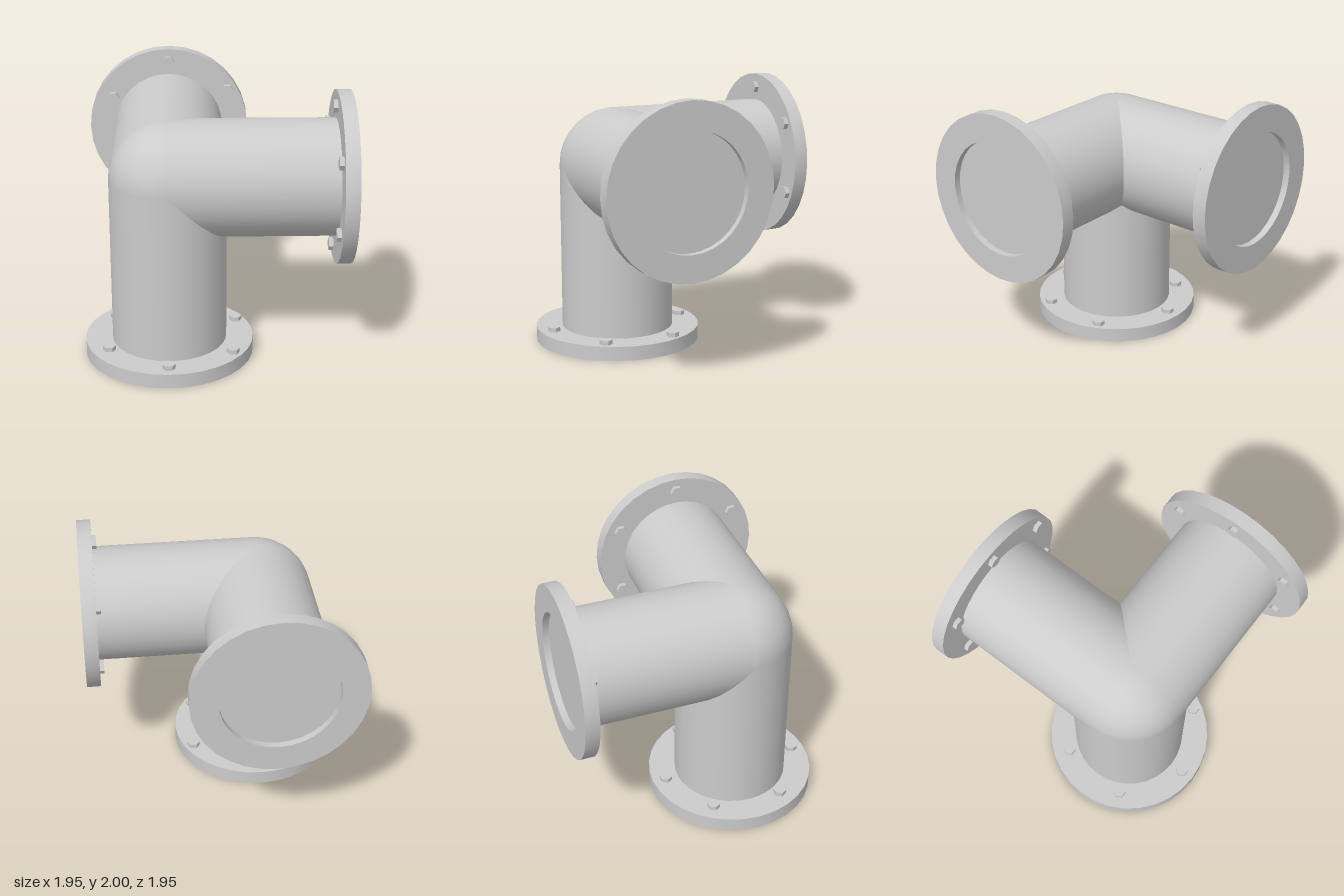
import * as THREE from 'three';
import { toCreasedNormals } from 'three/addons/utils/BufferGeometryUtils.js';

const PIPE_R = 0.428, FLANGE_R = 0.63, SEG = 32;
const BOLT_R = 0.048, BOLT_H = 0.033, RECESS = 0.05;

const material = new THREE.MeshStandardMaterial({ color: 0xcccccc });

function addMesh(parent, name, geometry) {
  const mesh = new THREE.Mesh(geometry, material);
  mesh.name = name;
  parent.add(mesh);
  return mesh;
}

// Flange ring around the y axis, from y = 0 to y = thickness
function flangeGeometry(thickness) {
  const profile = [
    [PIPE_R, 0], [FLANGE_R, 0], [FLANGE_R, thickness], [PIPE_R, thickness], [PIPE_R, thickness - RECESS],
  ].map(([r, y]) => new THREE.Vector2(r, y));
  return toCreasedNormals(new THREE.LatheGeometry(profile, SEG), Math.PI / 6);
}

// One pipe arm along +y: capped pipe, flange at its end, bolts on the inner face
function createArm(name, length, thickness, bolts, boltTurn) {
  const arm = new THREE.Group();
  arm.name = name;
  const pipeLength = length - thickness;

  const tube = new THREE.CylinderGeometry(PIPE_R, PIPE_R, pipeLength, SEG, 1, true);
  addMesh(arm, 'pipe', tube).position.y = pipeLength / 2;

  // Closing disc, recessed halfway into the flange
  const cap = new THREE.CircleGeometry(PIPE_R, SEG).rotateX(-Math.PI / 2);
  addMesh(arm, 'endCap', cap).position.y = length - RECESS;

  addMesh(arm, 'flange', flangeGeometry(thickness)).position.y = pipeLength;

  const hex = toCreasedNormals(
    new THREE.CylinderGeometry(BOLT_R, BOLT_R, BOLT_H, 6).rotateY(boltTurn), Math.PI / 6);
  for (const [x, z] of bolts) {
    addMesh(arm, 'bolt', hex).position.set(x, pipeLength - BOLT_H / 2, z);
  }
  return arm;
}

export function createModel() {
  const model = new THREE.Group();
  model.name = 'threeWayPipeElbow';

  const joint = new THREE.Group();
  joint.name = 'joint';
  joint.position.set(-0.343, 1.37, 0.343);
  model.add(joint);

  // Rounded outer corner
  addMesh(joint, 'cornerBall', new THREE.SphereGeometry(PIPE_R, SEG, SEG / 2));

  // Bolt circles: slightly uneven on two arms, regular on the third
  const uneven = [[0, 0.528], [-0.442, 0.238], [-0.41, -0.292],
    [0, -0.528], [0.505, -0.238], [0.47, 0.294]];
  const regular = Array.from({ length: 6 }, (_, i) => {
    const a = i * Math.PI / 3;
    return [0.53 * Math.cos(a), 0.53 * Math.sin(a)];
  });

  const down = createArm('lowerArm', 1.37, 0.108,
    uneven.map(([x, z]) => [x, -z]), Math.PI / 6);
  down.rotation.x = Math.PI;

  const back = createArm('backArm', 1.316, 0.104, uneven, Math.PI / 6);
  back.rotation.x = -Math.PI / 2;

  const side = createArm('leftArm', 1.316, 0.104, regular, 0);
  side.rotation.z = -Math.PI / 2;

  joint.add(down, back, side);
  return model;
}
